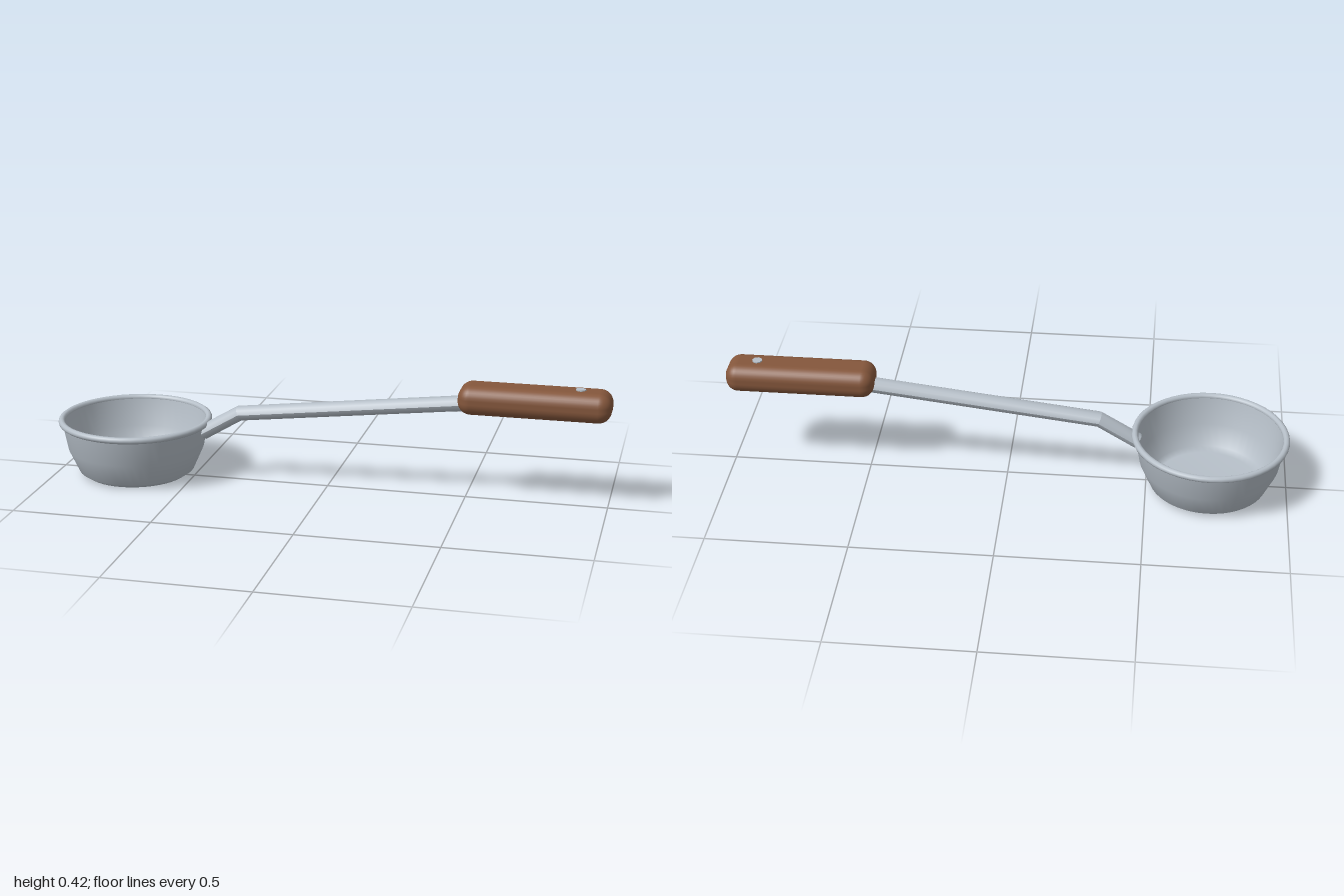
import * as THREE from 'three';
import { toCreasedNormals } from 'three/addons/utils/BufferGeometryUtils.js';
import { RoundedBoxGeometry } from 'three/addons/geometries/RoundedBoxGeometry.js';

const steel = new THREE.MeshStandardMaterial({ color: 0xb6bfc8 });
steel.name = 'steel';
const wood = new THREE.MeshStandardMaterial({ color: 0x85573c });
wood.name = 'wood';

function add(parent, name, geometry, material, x = 0, y = 0, z = 0) {
  const mesh = new THREE.Mesh(geometry, material);
  mesh.name = name;
  mesh.position.set(x, y, z);
  parent.add(mesh);
  return mesh;
}

// Oval rod between two rings [x, y, tilt], so neighbouring pieces share a mitred joint
function rod(start, end) {
  const geo = new THREE.CylinderGeometry(1, 1, 1, 10, 1);
  const p = geo.attributes.position;
  for (let i = 0; i < p.count; i++) {
    const [cx, cy, tilt] = p.getY(i) < 0 ? start : end;
    const across = p.getX(i) * 0.027;
    p.setXYZ(i, cx + Math.sin(tilt) * across, cy - Math.cos(tilt) * across, p.getZ(i) * 0.033);
  }
  return toCreasedNormals(geo, 0.7);
}

export function createModel() {
  const model = new THREE.Group();
  model.name = 'ladle';

  // Thin-walled bowl: outside going up, inside going down
  const bowl = new THREE.Group();
  bowl.name = 'bowl';
  bowl.position.x = -0.72;
  model.add(bowl);
  const profile = (pts) => pts.map(([r, y]) => new THREE.Vector2(r, y));
  add(bowl, 'bowlOutside', new THREE.LatheGeometry(profile([
    [0, 0], [0.185, 0], [0.21, 0.017], [0.247, 0.1], [0.266, 0.2],
  ]), 48), steel);
  add(bowl, 'bowlInside', new THREE.LatheGeometry(profile([
    [0.256, 0.2], [0.237, 0.1], [0.202, 0.026], [0.18, 0.012], [0, 0.012],
  ]), 48), steel);

  // Rolled rim
  const rim = new THREE.TorusGeometry(0.267, 0.012, 10, 48);
  rim.rotateX(Math.PI / 2);
  add(bowl, 'rim', rim, steel, 0, 0.202, 0);

  // Bent handle rod
  const low = [-0.463, 0.168, 0.56];
  const bend = [-0.325, 0.25, 0.34];
  const high = [0.52, 0.349, 0.117];
  add(model, 'handleNeck', rod(low, bend), steel);
  add(model, 'handleRod', rod(bend, high), steel);

  // Wooden grip and the small pin end on top
  add(model, 'grip', new RoundedBoxGeometry(0.53, 0.104, 0.144, 4, 0.045), wood, 0.735, 0.367, 0);
  add(model, 'gripPin', new THREE.CylinderGeometry(0.018, 0.018, 0.02, 8), steel, 0.89, 0.413, 0);

  return model;
}
